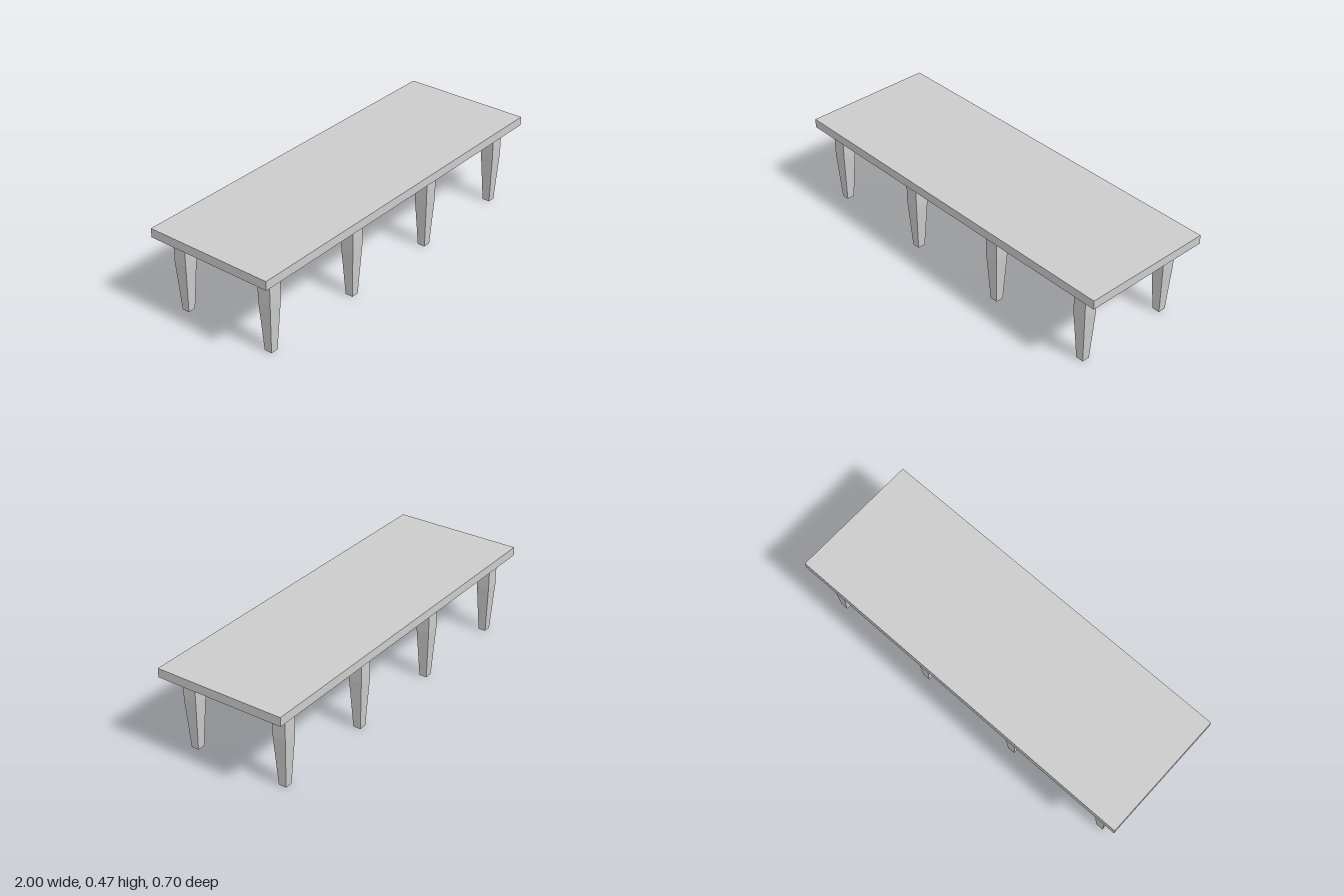
import * as THREE from 'three';

const TOP_Y = 0.465, UNDER_Y = 0.418;

// Square leg: almost straight above the bend, tapering to the foot
function legGeometry() {
  const halfWidths = [0.0205, 0.0355, 0.036];
  const heights = [0, 0.268, UNDER_Y];
  const geo = new THREE.BoxGeometry(2, 2, 2, 1, 2, 1);
  const p = geo.attributes.position;
  for (let i = 0; i < p.count; i++) {
    const level = Math.round(p.getY(i)) + 1;
    const w = halfWidths[level];
    p.setXYZ(i, p.getX(i) * w, heights[level], p.getZ(i) * w);
  }
  const flat = geo.toNonIndexed();
  flat.computeVertexNormals();
  return flat;
}

export function createModel() {
  const group = new THREE.Group();
  group.name = 'table';
  const material = new THREE.MeshStandardMaterial({ color: 0xcccccc, flatShading: true });

  // Table top
  const top = new THREE.Mesh(new THREE.BoxGeometry(2, TOP_Y - UNDER_Y, 0.7), material);
  top.name = 'tableTop';
  top.position.y = (TOP_Y + UNDER_Y) / 2;
  group.add(top);

  // Two rows of four evenly spaced legs
  const geo = legGeometry();
  for (const [row, z] of [['front', 0.26], ['back', -0.259]]) {
    for (let i = 0; i < 4; i++) {
      const leg = new THREE.Mesh(geo, material);
      leg.name = `${row}Leg${i + 1}`;
      leg.position.set(-0.884 + i * 0.583, 0, z);
      group.add(leg);
    }
  }
  return group;
}
